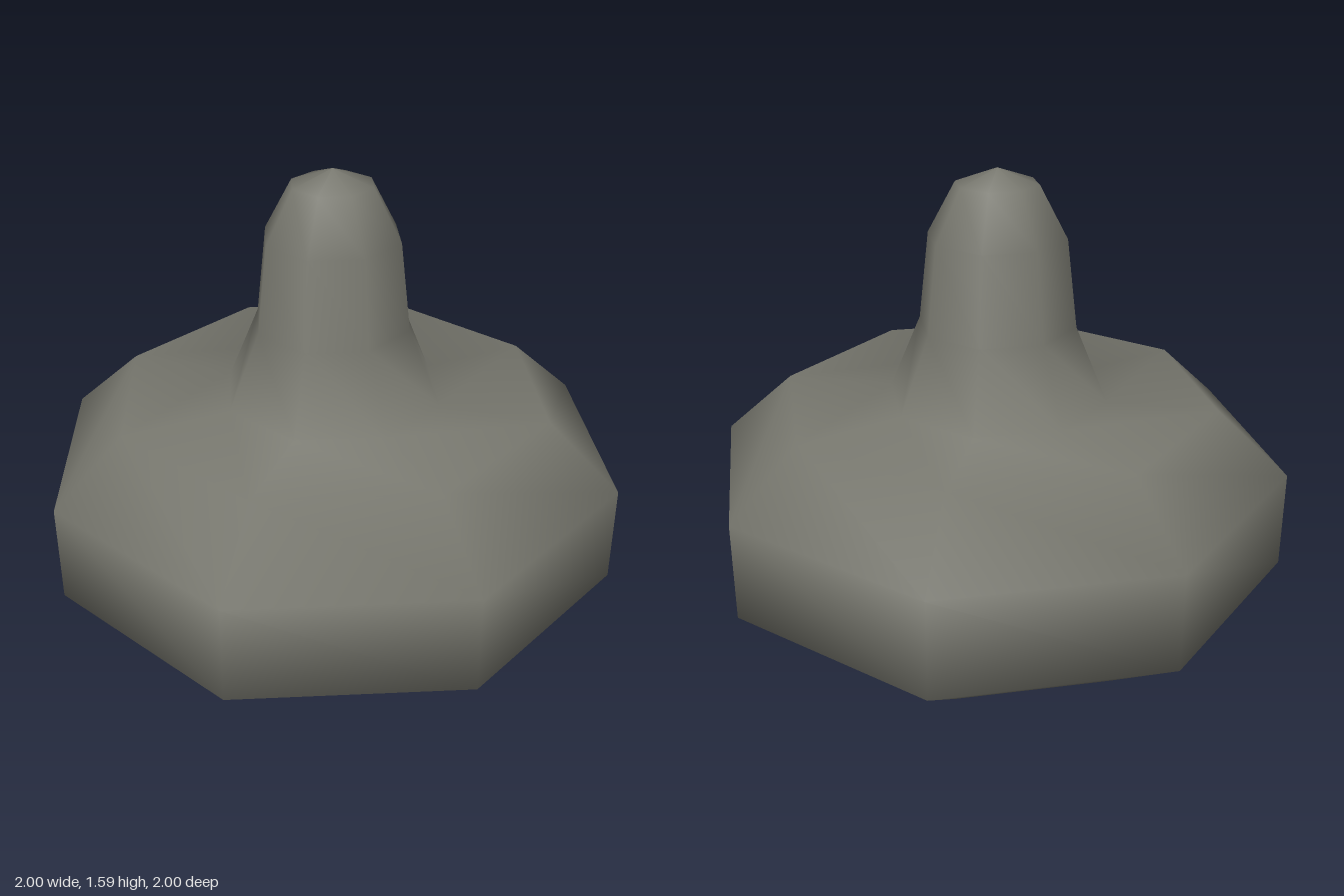
import * as THREE from 'three';

export function createModel() {
  const group = new THREE.Group();
  group.name = 'knob';

  const stone = new THREE.MeshStandardMaterial({ color: 0x77776e });
  stone.name = 'warm grey';

  // Profile from the underside centre to the tip: radius, height
  const profile = [
    [0, 0], [0.66, 0], [1, 0.245], [1, 0.58], [0.755, 0.8], // broad base
    [0.38, 0.8], [0.27, 1.06], [0.235, 1.36], [0.14, 1.535], [0, 1.585], // stem
  ].map(([r, y]) => new THREE.Vector2(r, y));

  // Eight sides with smooth normals, stem and base in one surface
  const body = new THREE.Mesh(new THREE.LatheGeometry(profile, 8), stone);
  body.name = 'baseAndStem';
  group.add(body);

  return group;
}
